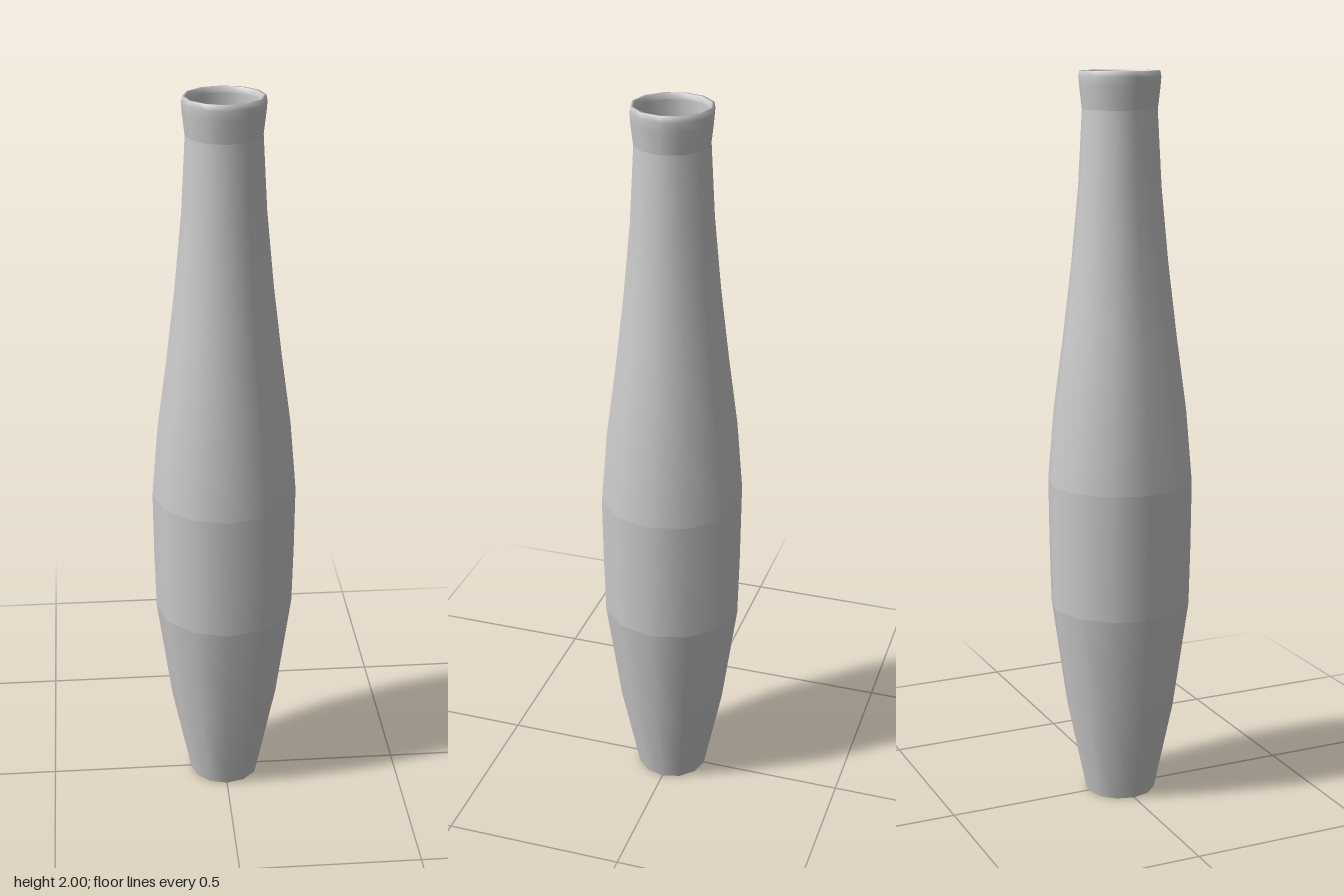
import * as THREE from 'three';

const SIDES = 12;

export function createModel() {
  const bottle = new THREE.Group();
  bottle.name = 'bottle';
  const material = new THREE.MeshStandardMaterial({ color: 0xcccccc });

  // Each band is turned separately so its edges stay crisp
  const turn = (name, profile) => {
    const points = profile.map(([r, y]) => new THREE.Vector2(r, y));
    const mesh = new THREE.Mesh(new THREE.LatheGeometry(points, SIDES), material);
    mesh.name = name;
    bottle.add(mesh);
  };

  // Outside, from the foot up
  turn('foot', [[0, 0], [0.098, 0]]);
  turn('lowerBody', [[0.098, 0], [0.15, 0.25], [0.192, 0.55]]);
  turn('middleBand', [[0.192, 0.55], [0.196, 0.72], [0.198, 0.9]]);
  turn('neck', [
    [0.198, 0.9], [0.181, 1.1], [0.154, 1.3], [0.13, 1.5],
    [0.111, 1.7], [0.1, 1.9],
  ]);
  turn('lip', [
    [0.1, 1.9], [0.107, 1.96], [0.109, 1.985], [0.106, 2], [0.099, 2], [0.096, 1.985],
  ]);

  // Hollow inside, from the mouth down to the floor
  turn('inside', [
    [0.096, 1.985], [0.092, 1.9], [0.102, 1.7], [0.121, 1.5], [0.145, 1.3],
    [0.172, 1.1], [0.189, 0.9], [0.183, 0.55], [0.141, 0.25], [0.09, 0.02], [0, 0.02],
  ]);

  return bottle;
}
